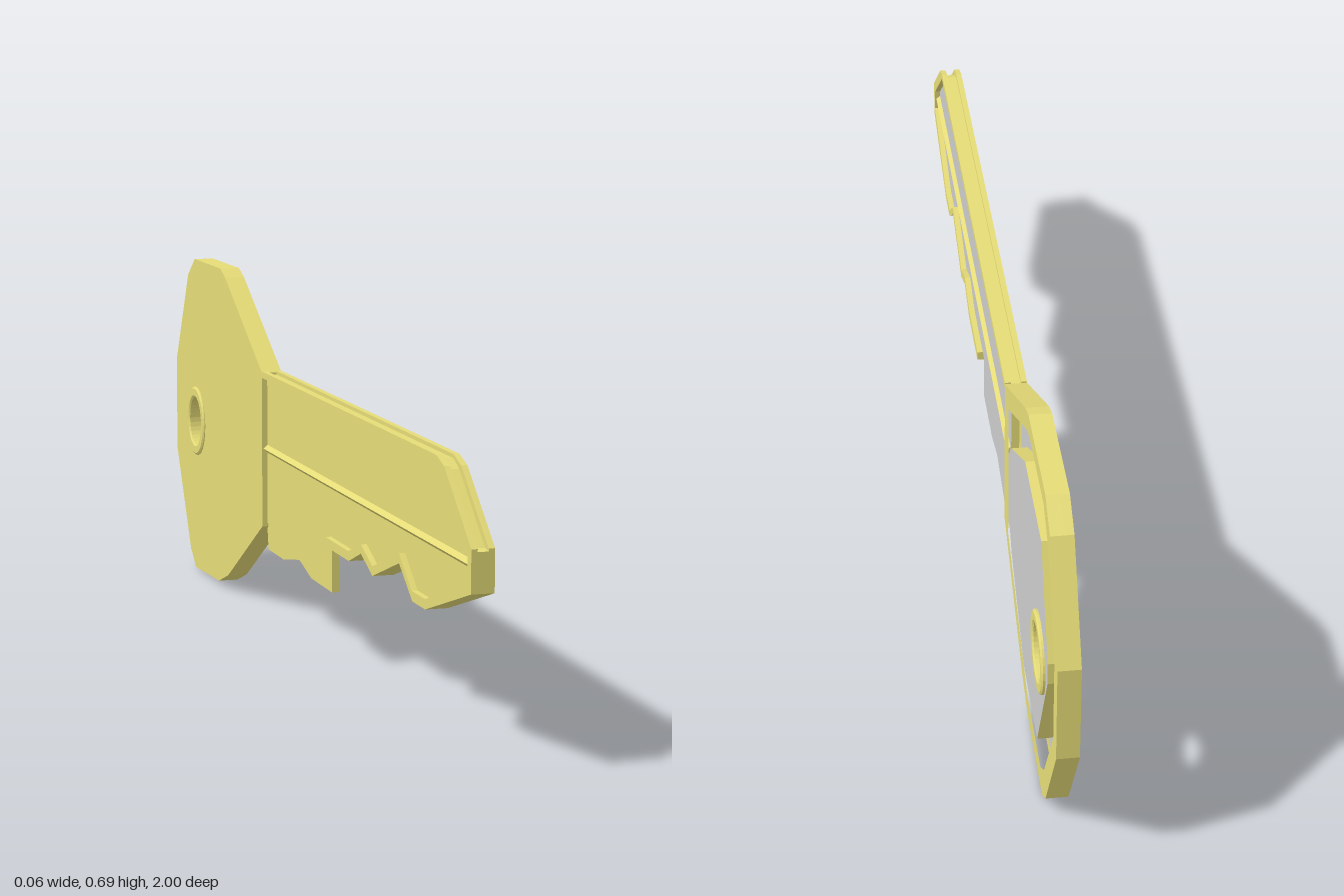
import * as THREE from 'three';

const brass = new THREE.MeshStandardMaterial({ color: 0xe5db77, flatShading: true });
const grey = new THREE.MeshStandardMaterial({ color: 0xcccccc, flatShading: true });

// Profile points are [z, y]; slabs are extruded along x
const toVectors = (pts) => pts.map(([z, y]) => new THREE.Vector2(-z, y));

const HOLE = [-0.82, 0.33];
const circle = (r) => new THREE.Path().absarc(-HOLE[0], HOLE[1], r, 0, Math.PI * 2, true);

function slab(name, pts, x0, x1, face, { hole, edge = brass } = {}) {
  const shape = new THREE.Shape(toVectors(pts));
  if (hole) shape.holes.push(hole);
  const geo = new THREE.ExtrudeGeometry(shape, { depth: x1 - x0, bevelEnabled: false, curveSegments: 16 });
  geo.rotateY(Math.PI / 2).translate(x0, 0, 0);
  const mesh = new THREE.Mesh(geo, [face, edge]);
  mesh.name = name;
  return mesh;
}

const bowOutline = [
  [-0.28, 0.505], [-0.57, 0.67], [-0.61, 0.685], [-0.83, 0.685], [-0.89, 0.645], [-1, 0.445],
  [-1, 0.245], [-0.88, 0.035], [-0.835, 0], [-0.635, 0.008], [-0.556, 0.035], [-0.28, 0.19],
];
const bowInner = [
  [-0.337, 0.49], [-0.585, 0.635], [-0.625, 0.65], [-0.81, 0.65], [-0.865, 0.61], [-0.963, 0.435],
  [-0.963, 0.26], [-0.855, 0.08], [-0.81, 0.045], [-0.625, 0.05], [-0.57, 0.078], [-0.337, 0.195],
];
const bowPlate = [
  [-0.4, 0.445], [-0.42, 0.465], [-0.61, 0.583], [-0.823, 0.58], [-0.92, 0.39],
  [-0.92, 0.345], [-0.8, 0.105], [-0.61, 0.113], [-0.43, 0.225], [-0.4, 0.265],
];

// Cut edge of the blade, from the tip back to the step
const cuts = [
  [1, 0.305], [0.765, 0.232], [0.695, 0.232], [0.62, 0.285],
  [0.465, 0.232], [0.395, 0.26], [0.32, 0.232], [0.17, 0.232],
];
const cutsInner = [
  [0.985, 0.325], [0.765, 0.25], [0.69, 0.25], [0.62, 0.303],
  [0.465, 0.25], [0.395, 0.277], [0.315, 0.25], [0.17, 0.25],
];
const topInner = [[-0.28, 0.495], [0.825, 0.495], [0.98, 0.37]];
const bladeRim = [
  [-0.28, 0.508], [0.82, 0.508], [0.86, 0.495], [1, 0.38], ...cuts,
  ...cutsInner.slice().reverse(), ...topInner.slice().reverse(),
];
const bladeCore = [
  [-0.29, 0.501], [0.82, 0.501], [0.85, 0.488], [0.982, 0.378], [1, 0.375], ...cuts,
  [0.17, 0.252], [-0.29, 0.195],
];
const tooth = [
  [0.17, 0.252], [0.17, 0.142], [0.03, 0.142], [-0.053, 0.163], [-0.17, 0.142], [-0.28, 0.142],
  [-0.29, 0.195],
];

export function createModel() {
  const model = new THREE.Group();
  model.name = 'key';

  // Bow: solid back, raised rim, sunken panel and raised plate
  const bow = new THREE.Group();
  bow.name = 'bow';
  bow.add(
    slab('bowBack', bowOutline, -0.024, -0.009, brass, { hole: circle(0.06) }),
    slab('bowRim', bowOutline, -0.009, 0.017, brass, { hole: new THREE.Path(toVectors(bowInner)) }),
    slab('bowPanel', bowInner, -0.009, -0.007, grey, { hole: circle(0.06) }),
    slab('bowPlate', bowPlate, -0.007, 0.022, grey, { hole: circle(0.06) }),
  );

  // Ring lining the hole, slightly chamfered
  const ringProfile = [
    [0.052, -0.026], [0.056, -0.029], [0.071, -0.029], [0.075, -0.026],
    [0.075, 0.026], [0.071, 0.029], [0.056, 0.029], [0.052, 0.026], [0.052, -0.026],
  ].map(([r, h]) => new THREE.Vector2(r, h));
  const ring = new THREE.Mesh(new THREE.LatheGeometry(ringProfile, 32).rotateZ(-Math.PI / 2), brass);
  ring.position.set(0, HOLE[1], HOLE[0]);
  ring.name = 'holeRing';
  bow.add(ring);

  // Blade: two-sided core framed by rims on both faces
  const blade = new THREE.Group();
  blade.name = 'blade';
  blade.add(
    slab('bladeCoreLeft', bladeCore, -0.003, 0.006, grey),
    slab('bladeCoreRight', bladeCore, -0.013, -0.003, brass),
    slab('toothLeft', tooth, -0.003, 0.004, grey),
    slab('toothRight', tooth, -0.011, -0.003, brass),
    slab('bladeRimLeft', bladeRim, 0.006, 0.017, brass),
    slab('bladeRimRight', bladeRim, -0.024, -0.013, brass),
  );

  // Lengthwise ridge on each face
  for (const [name, x] of [['ridgeLeft', 0.006], ['ridgeRight', -0.013]]) {
    const ridge = new THREE.Mesh(new THREE.CylinderGeometry(0.008, 0.008, 1.27, 4).rotateX(Math.PI / 2), brass);
    ridge.position.set(x, 0.35, 0.355);
    ridge.name = name;
    blade.add(ridge);
  }

  model.add(bow, blade);
  return model;
}
